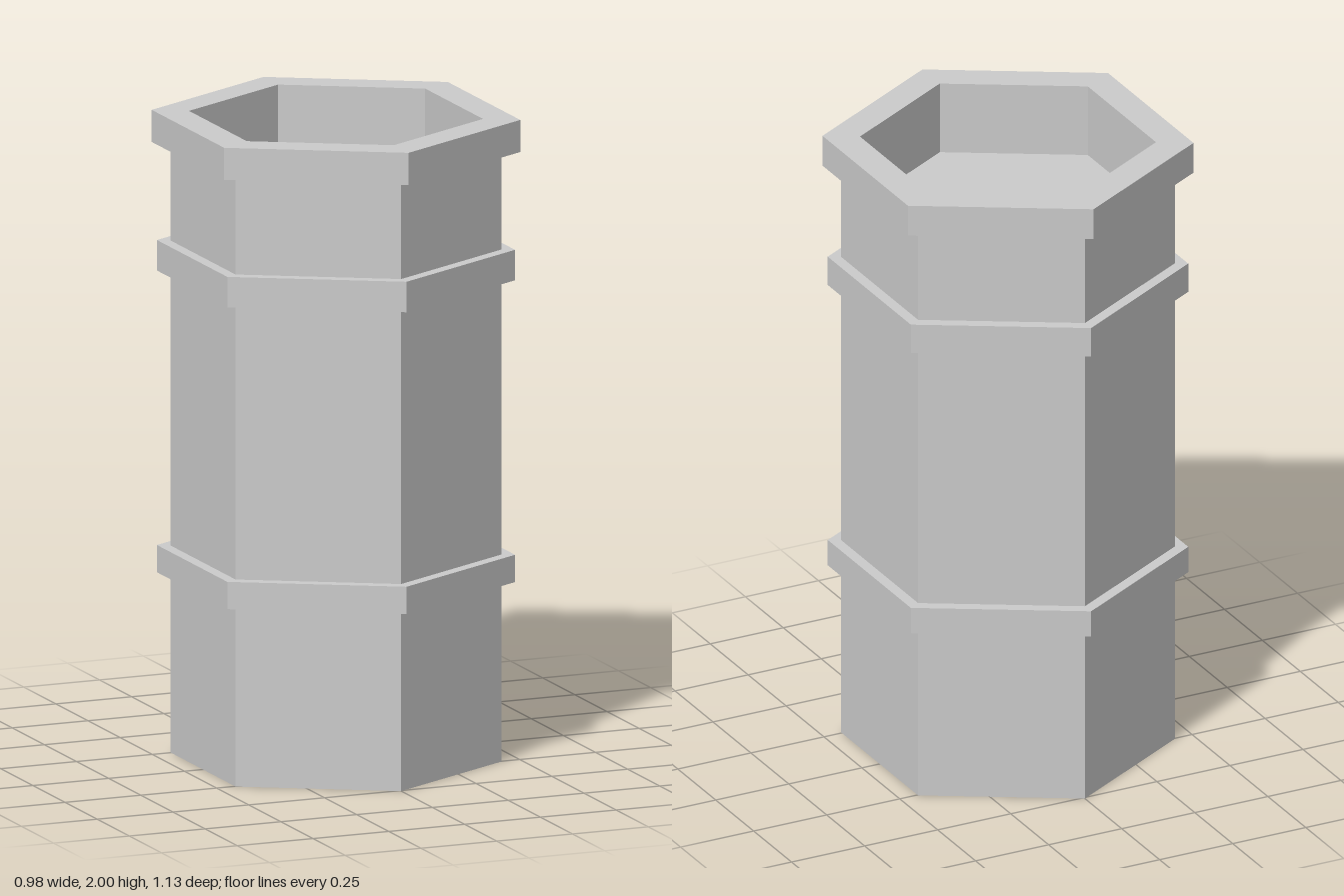
import * as THREE from 'three';

const material = new THREE.MeshStandardMaterial({
  color: 0xcccccc, flatShading: true, side: THREE.DoubleSide,
});

// Six-sided shell turned from a [radius, height] profile, with a corner facing +z
function hexShell(name, profile) {
  const points = profile.map(([r, y]) => new THREE.Vector2(r, y));
  const mesh = new THREE.Mesh(new THREE.LatheGeometry(points, 6), material);
  mesh.name = name;
  return mesh;
}

export function createModel() {
  const group = new THREE.Group();
  group.name = 'hexagonalPot';

  const R = 0.507, bandR = 0.548, rimR = 0.564, innerR = 0.45;
  const rimY = 1.9, topY = 2, floorY = 1.77;
  const bands = [['lowerBand', 0.56, 0.645], ['upperBand', 1.5, 1.595]];

  // Thin wall sections, open at the bottom, with a raised band above each
  let y = 0;
  bands.forEach(([name, y0, y1], i) => {
    group.add(hexShell(`wall${i + 1}`, [[R, y], [R, y0]]));
    group.add(hexShell(name, [[R, y0], [bandR, y0], [bandR, y1], [R, y1]]));
    y = y1;
  });
  group.add(hexShell('wall3', [[R, y], [R, rimY]]));

  // Overhanging rim
  group.add(hexShell('rim', [[R, rimY], [rimR, rimY], [rimR, topY], [innerR, topY]]));

  // Shallow recess inside the rim
  group.add(hexShell('recessWall', [[innerR, topY], [innerR, floorY]]));
  const floor = new THREE.Mesh(new THREE.CircleGeometry(innerR, 6, Math.PI / 2), material);
  floor.name = 'recessFloor';
  floor.rotation.x = -Math.PI / 2;
  floor.position.y = floorY;
  group.add(floor);

  return group;
}
